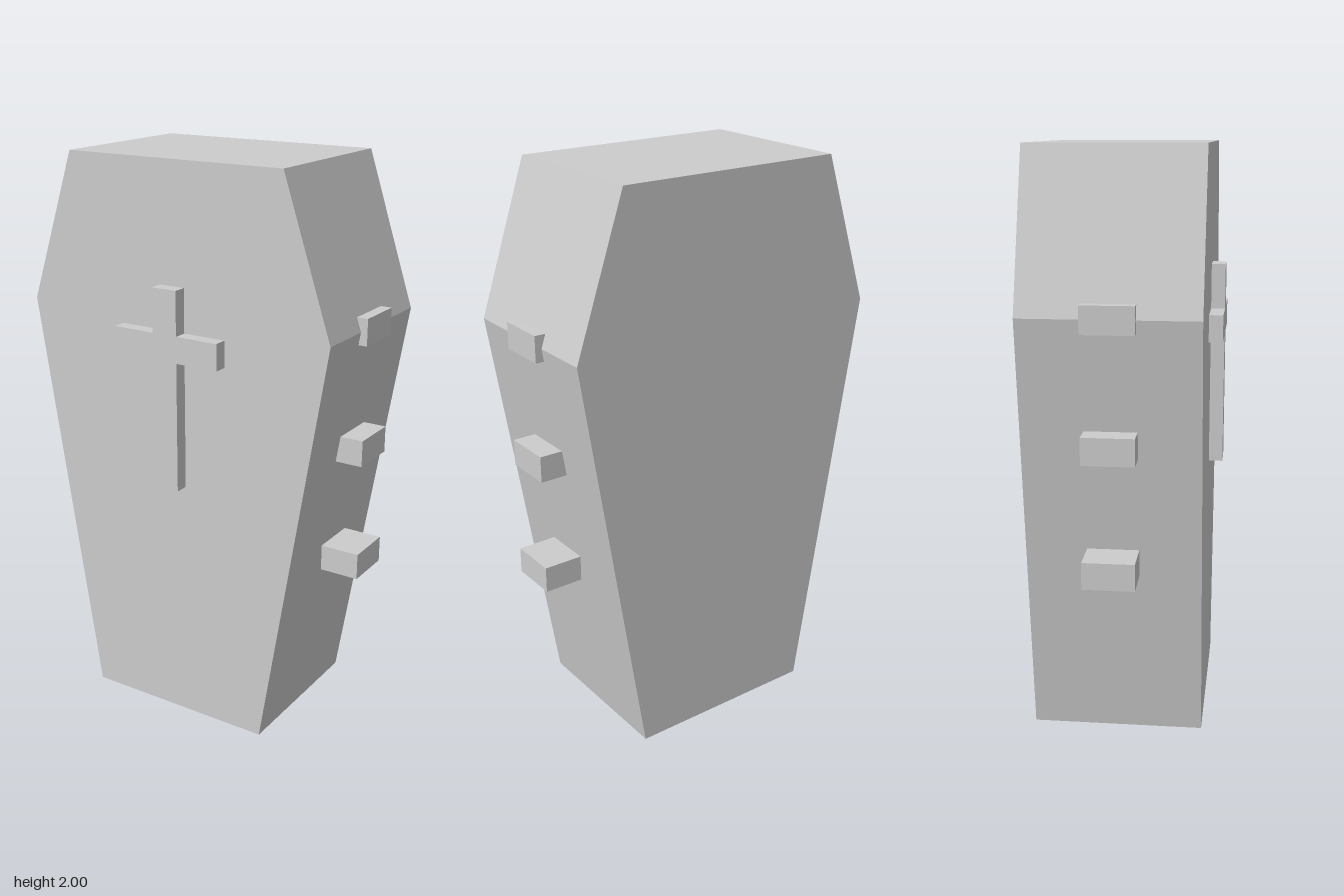
import * as THREE from 'three';

export function createModel() {
  const model = new THREE.Group();
  const grey = new THREE.MeshStandardMaterial({ color: 0xcccccc });
  grey.name = 'light grey';

  // Extrudes an outline from z0 to z1
  const slab = (name, outline, z0, z1) => {
    const shape = new THREE.Shape(outline.map(([x, y]) => new THREE.Vector2(x, y)));
    const geometry = new THREE.ExtrudeGeometry(shape, { depth: z1 - z0, bevelEnabled: false });
    const mesh = new THREE.Mesh(geometry.translate(0, 0, z0), grey);
    mesh.name = name;
    model.add(mesh);
  };

  // Six-sided casket body
  slab('casketBody', [
    [-0.354, 0], [0.352, 0], [0.587, 1.475], [0.41, 2], [-0.412, 2], [-0.589, 1.475],
  ], -0.318, 0.268);

  // Raised cross on the lid
  const c = -0.002, bar = 0.047, arm = 0.204;
  slab('cross', [
    [c - bar, 0.89], [c + bar, 0.89], [c + bar, 1.345], [c + arm, 1.345],
    [c + arm, 1.437], [c + bar, 1.437], [c + bar, 1.59], [c - bar, 1.59],
    [c - bar, 1.437], [c - arm, 1.437], [c - arm, 1.345], [c + bar * -1, 1.345],
  ], 0.268, 0.316);

  // Three block handles on each side
  for (const side of [-1, 1]) {
    for (const y of [0.65, 1.063, 1.477]) {
      const handle = new THREE.Mesh(new THREE.BoxGeometry(0.138, 0.091, 0.173), grey);
      handle.name = side > 0 ? 'leftHandle' : 'rightHandle';
      handle.position.set(side * 0.543 - 0.002, y, -0.024);
      model.add(handle);
    }
  }
  return model;
}
